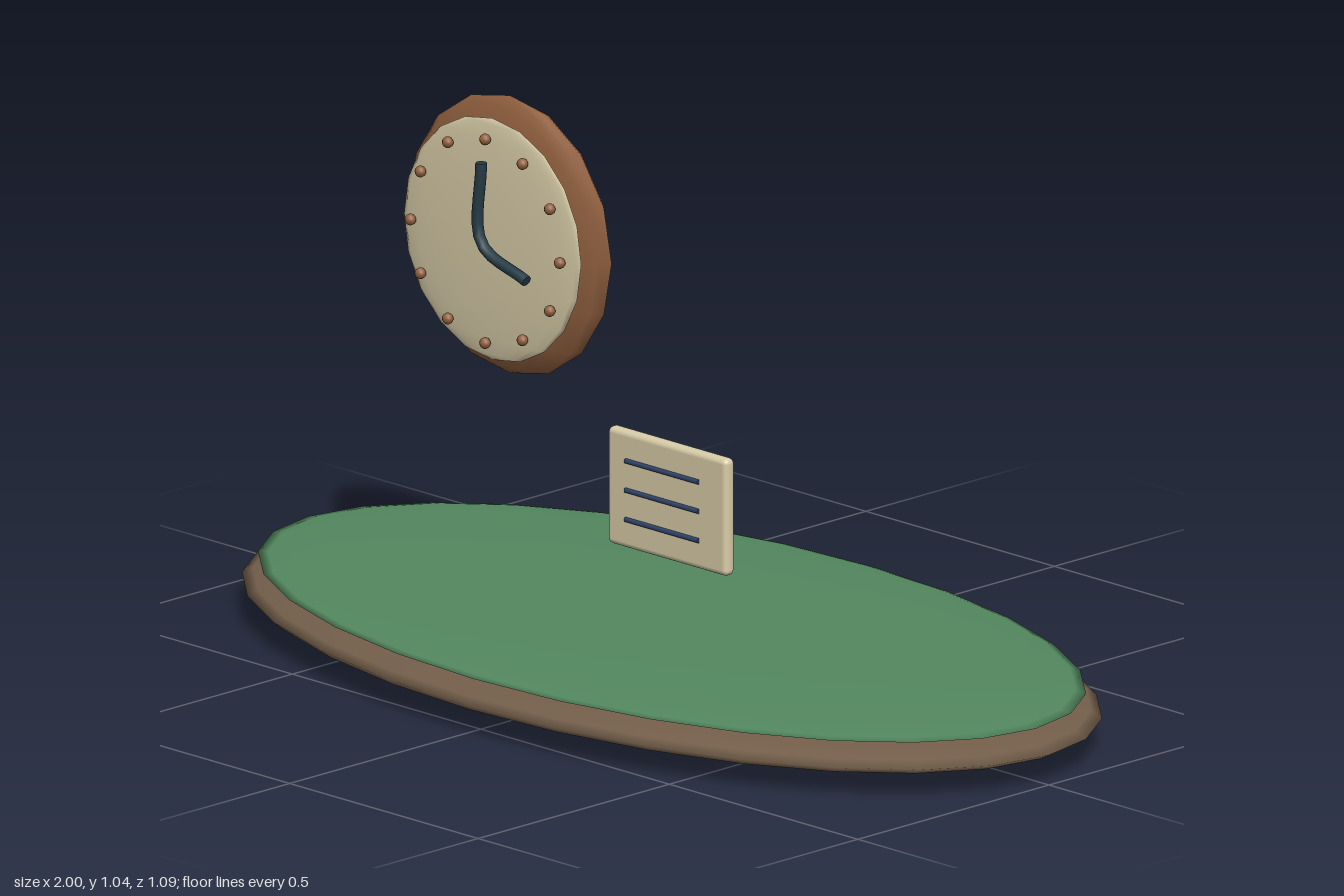
import * as THREE from 'three';
import { RoundedBoxGeometry } from 'three/addons/geometries/RoundedBoxGeometry.js';

export function createModel() {
  const model = new THREE.Group();
  model.name = 'clockAndNoteOnTable';

  const material = (name, color) => {
    const m = new THREE.MeshStandardMaterial({ color });
    m.name = name;
    return m;
  };
  const darkWood = material('darkWood', 0x735e4a);
  const felt = material('greenFelt', 0x53885f);
  const wood = material('warmWood', 0x91603f);
  const cream = material('cream', 0xd8cca8);
  const handInk = material('handInk', 0x263c47);
  const lineInk = material('lineInk', 0x2f4468);

  const add = (parent, name, geometry, mat, x = 0, y = 0, z = 0) => {
    const mesh = new THREE.Mesh(geometry, mat);
    mesh.name = name;
    mesh.position.set(x, y, z);
    parent.add(mesh);
    return mesh;
  };
  // Flattened sphere with smooth normals
  const ellipsoid = (rx, ry, rz, w, h) => new THREE.SphereGeometry(1, w, h).scale(rx, ry, rz);

  // Oval table top with felt
  add(model, 'tableBase', ellipsoid(1, 0.058, 0.545, 28, 14), darkWood, 0, 0.06, 0);
  add(model, 'tableFelt', ellipsoid(0.965, 0.018, 0.52, 28, 14), felt, 0, 0.104, 0);

  // Clock
  const clock = new THREE.Group();
  clock.name = 'clock';
  clock.position.set(-0.43, 0.767, 0);
  model.add(clock);
  add(clock, 'clockBody', ellipsoid(0.27, 0.27, 0.047, 16, 8), wood);
  add(clock, 'clockFace', ellipsoid(0.235, 0.235, 0.014, 20, 10), cream, 0, 0, 0.045);

  // Hour markers
  const dot = new THREE.SphereGeometry(0.011, 10, 8);
  for (let i = 0; i < 12; i++) {
    const a = (i / 12) * Math.PI * 2;
    add(clock, 'hourMarker', dot, wood, Math.sin(a) * 0.198, Math.cos(a) * 0.198, 0.065);
  }

  // Both hands as one bent rod, capped at the ends
  const path = new THREE.CatmullRomCurve3([
    new THREE.Vector3(0, 0.155, 0.075),
    new THREE.Vector3(0, 0, 0.075),
    new THREE.Vector3(0.12, -0.05, 0.075),
  ]);
  add(clock, 'clockHands', new THREE.TubeGeometry(path, 12, 0.011, 8), handInk);
  for (const t of [0, 1]) {
    const p = path.getPoint(t);
    const cap = add(clock, 'handTip', new THREE.CircleGeometry(0.011, 8), handInk, p.x, p.y, p.z);
    const out = path.getTangent(t).multiplyScalar(t ? 1 : -1);
    cap.quaternion.setFromUnitVectors(new THREE.Vector3(0, 0, 1), out);
  }

  // Note card with ruled lines
  const note = new THREE.Group();
  note.name = 'note';
  note.position.set(-0.002, 0.341, 0);
  model.add(note);
  add(note, 'noteCard', new RoundedBoxGeometry(0.316, 0.228, 0.026, 3, 0.011), cream);
  for (const y of [0.057, 0, -0.057]) {
    const line = add(note, 'noteLine', new THREE.CylinderGeometry(0.005, 0.005, 0.194, 8), lineInk, -0.01, y, 0.014);
    line.rotation.z = Math.PI / 2;
  }

  return model;
}
